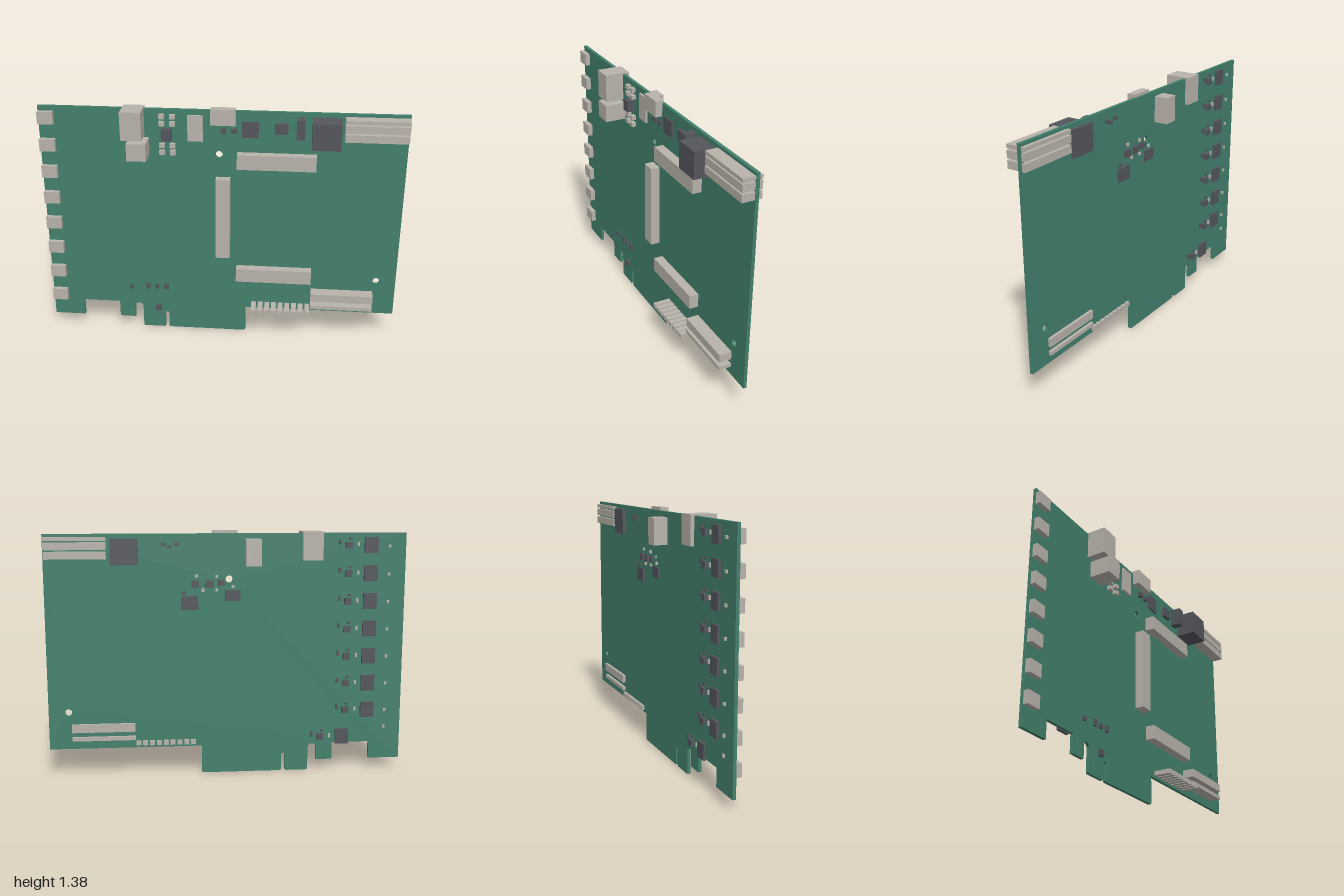
import * as THREE from 'three';

const BACK = -0.03, FRONT = -0.012; // the two faces of the board

const material = (name, color) => {
  const m = new THREE.MeshStandardMaterial({ color });
  m.name = name;
  return m;
};

export function createModel() {
  const group = new THREE.Group();
  const green = material('boardGreen', 0x43806c);
  const light = material('connectorGrey', 0xb8b3ab);
  const dark = material('chipGrey', 0x54565d);

  // Box given by its limits on each axis
  const box = (name, mat, x0, x1, y0, y1, z0, z1) => {
    const mesh = new THREE.Mesh(new THREE.BoxGeometry(x1 - x0, y1 - y0, z1 - z0), mat);
    mesh.position.set((x0 + x1) / 2, (y0 + y1) / 2, (z0 + z1) / 2);
    mesh.name = name;
    group.add(mesh);
  };
  const onFront = (name, mat, x0, x1, y0, y1, z1) => box(name, mat, x0, x1, y0, y1, FRONT, z1);
  // Part on the back, given by centre, size and height above the board
  const onBack = (name, mat, x, y, w, h, d) =>
    box(name, mat, x - w / 2, x + w / 2, y - h / 2, y + h / 2, BACK - d, BACK);

  // Circuit board with edge fingers, slots and mounting holes
  const s = new THREE.Shape();
  s.moveTo(-1, 0.06);
  s.lineTo(-0.82, 0.06);
  s.lineTo(-0.82, 0.16);
  s.lineTo(-0.605, 0.16);
  s.lineTo(-0.605, 0.06);
  s.lineTo(-0.512, 0.06);
  s.lineTo(-0.512, 0.132);
  s.absarc(-0.488, 0.132, 0.024, Math.PI, 0, true);
  s.lineTo(-0.464, 0.006);
  s.lineTo(-0.458, 0);
  s.lineTo(-0.338, 0);
  s.lineTo(-0.332, 0.006);
  s.lineTo(-0.332, 0.092);
  s.absarc(-0.321, 0.092, 0.011, Math.PI, 0, true);
  s.lineTo(-0.31, 0.006);
  s.lineTo(-0.304, 0);
  s.lineTo(0.139, 0);
  s.lineTo(0.145, 0.006);
  s.lineTo(0.145, 0.16);
  s.lineTo(1, 0.16);
  s.lineTo(1, 1.36);
  s.lineTo(-1, 1.36);
  s.closePath();
  for (const [x, y] of [[-0.01, 1.11], [0.89, 0.37]]) {
    const hole = new THREE.Path();
    hole.absarc(x, y, 0.02, 0, Math.PI * 2, true);
    s.holes.push(hole);
  }
  const board = new THREE.Mesh(
    new THREE.ExtrudeGeometry(s, { depth: FRONT - BACK, bevelEnabled: false, curveSegments: 12 }), green);
  board.position.z = BACK;
  board.name = 'board';
  group.add(board);

  // Eight channels: edge connector in front, chip cluster behind
  for (let i = 0; i < 8; i++) {
    const y = 1.297 - i * 0.1563;
    const dx = i === 7 ? 0.143 : 0; // the last cluster sits further in
    onFront('edgeConnector', light, -1, -0.913, y - 0.035, y + 0.035, 0.016);
    onBack('channelChip', dark, -0.802 + dx, y - 0.005, 0.076, 0.088, 0.015);
    onBack('driverChip', dark, -0.675 + dx, y - 0.005, 0.038, 0.036, 0.018);
    onBack('resistor', dark, -0.627 + dx, y + 0.012, 0.014, 0.028, 0.01);
    onBack('resistor', dark, -0.685 + dx, y + 0.03, 0.016, 0.012, 0.01);
    onBack('capacitor', light, -0.73 + dx, y, 0.012, 0.022, 0.01);
    onBack('capacitor', light, -0.905, i === 7 ? 0.25 : y - 0.01, 0.014, 0.016, 0.01);
  }

  // Parts that pass through the board
  box('tallSocket', light, -0.53, -0.417, 1.21, 1.367, -0.05, 0.093);
  box('powerModule', dark, 0.488, 0.64, 1.19, 1.335, -0.05, 0.102);
  for (const [y0, y1] of [[1.225, 1.266], [1.275, 1.316], [1.324, 1.344]])
    box('cornerConnectorBar', light, 0.66, 0.995, y0, y1, -0.05, 0.056);
  box('lowerHeader', light, 0.52, 0.873, 0.256, 0.303, -0.046, 0.058);
  box('lowerHeader', light, 0.52, 0.873, 0.207, 0.229, -0.046, 0.058);
  for (let i = 0; i < 9; i++) {
    const x = 0.18 + i * 0.0387;
    box('headerPin', light, x, x + 0.028, 0.174, 0.2, -0.046, 0.088);
  }
  box('rearSocket', light, -0.181, -0.097, 1.185, 1.33, -0.108, 0);
  box('topConnector', light, -0.055, 0.08, 1.287, 1.376, -0.02, 0.027);

  // Front connectors
  onFront('shortSocket', light, -0.499, -0.393, 1.1, 1.197, 0.108);
  onFront('mezzanineConnector', light, 0.09, 0.518, 1.045, 1.128, 0.04);
  onFront('mezzanineConnector', light, -0.026, 0.053, 0.505, 0.98, 0.04);
  onFront('mezzanineConnector', light, 0.09, 0.518, 0.356, 0.436, 0.04);

  // Front chips
  const frontChips = [
    [0.113, 0.203, 1.213, 1.303, -0.003], [0.29, 0.36, 1.24, 1.3, 0.008],
    [0.405, 0.45, 1.227, 1.335, 0.05], [-0.321, -0.268, 1.19, 1.254, 0.03],
    [0, 0.03, 1.235, 1.262, 0.005], [0.055, 0.085, 1.235, 1.262, 0.003],
    [-0.535, -0.515, 0.257, 0.278, 0.002], [-0.44, -0.418, 0.26, 0.294, 0.002],
    [-0.388, -0.366, 0.265, 0.287, 0.002], [-0.334, -0.311, 0.26, 0.294, 0.002],
    [-0.388, -0.354, 0.116, 0.15, 0.004],
  ];
  for (const c of frontChips) onFront('frontChip', dark, ...c);

  // Capacitors around the upper regulator
  for (const x of [-0.32, -0.262])
    for (const y of [1.321, 1.281, 1.158, 1.118])
      onFront('regulatorCapacitor', light, x - 0.015, x + 0.015, y - 0.012, y + 0.012, 0.012);

  // Chips on the back near the upper hole and the top edge
  const backChips = [
    [0.21, 0.98, 0.095, 0.075, 0.012], [-0.03, 1.02, 0.08, 0.06, 0.012],
    [0.178, 1.085, 0.042, 0.038, 0.018], [0.1, 1.085, 0.042, 0.038, 0.018],
    [0.035, 1.09, 0.032, 0.032, 0.016], [0.24, 1.035, 0.022, 0.016, 0.01],
    [0.35, 1.3, 0.028, 0.018, 0.01], [0.318, 1.288, 0.024, 0.018, 0.01],
    [0.28, 1.303, 0.024, 0.018, 0.01],
  ];
  for (const c of backChips) onBack('backChip', dark, ...c);
  for (const [x, y] of [[0.17, 1.13], [0.06, 1.125], [0.135, 1.05], [0.06, 1.05], [-0.03, 1.07]])
    onBack('capacitor', light, x, y, 0.016, 0.016, 0.01);

  return group;
}
